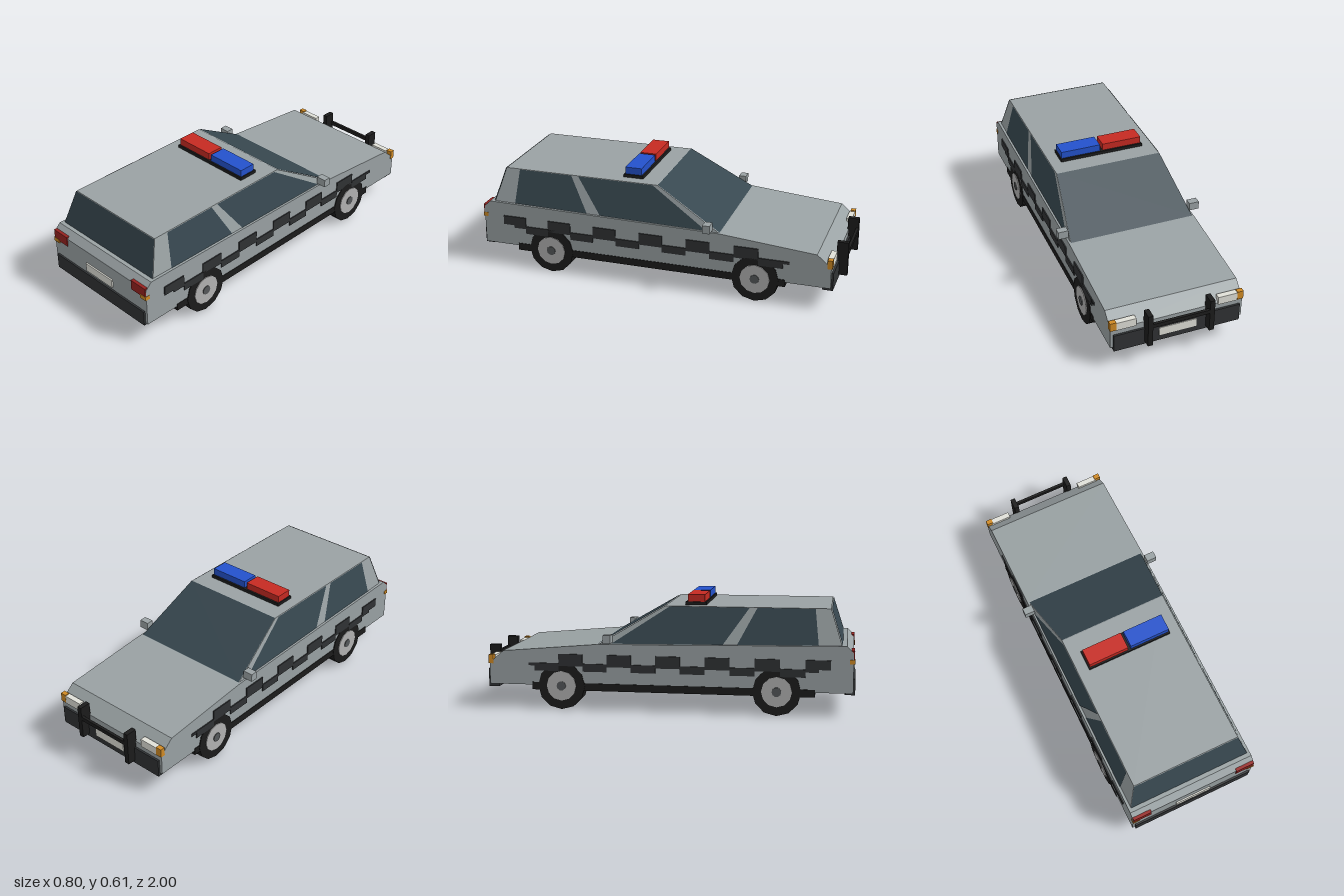
import * as THREE from 'three';

const mat = (color) => new THREE.MeshStandardMaterial({ color, flatShading: true });

export function createModel() {
  const car = new THREE.Group();
  car.name = 'patrolCar';
  const paint = mat(0x9aa2a4), dark = mat(0x303234), black = mat(0x1c1c1c);
  const red = mat(0xc62a22), blue = mat(0x2452cc), tailRed = mat(0x96221f);
  const amber = mat(0xd08a24), plateMat = mat(0xe0e0d8), hubMat = mat(0xb2b2b2);
  const glass = mat(0x37474f);
  glass.side = THREE.DoubleSide;

  const add = (name, geometry, material) => {
    const m = new THREE.Mesh(geometry, material);
    m.name = name;
    car.add(m);
    return m;
  };
  // box given by its minimum and maximum on each axis
  const box = (name, material, x0, x1, y0, y1, z0, z1) => {
    const m = add(name, new THREE.BoxGeometry(x1 - x0, y1 - y0, z1 - z0), material);
    m.position.set((x0 + x1) / 2, (y0 + y1) / 2, (z0 + z1) / 2);
    return m;
  };
  // the same box on both sides of the car
  const pair = (name, material, x0, x1, ...rest) => {
    box(name, material, x0, x1, ...rest);
    box(name, material, -x1, -x0, ...rest);
  };
  // side profile of [z, y] points extruded across the car
  const extrudeProfile = (points, half) => {
    const shape = new THREE.Shape(points.map(([z, y]) => new THREE.Vector2(z, y)));
    const g = new THREE.ExtrudeGeometry(shape, { depth: 2 * half, bevelEnabled: false });
    return g.rotateY(-Math.PI / 2).translate(half, 0, 0);
  };
  const quad = (name, corners) => {
    const g = new THREE.BufferGeometry();
    g.setAttribute('position', new THREE.Float32BufferAttribute(corners.flat(), 3));
    g.setIndex([0, 1, 2, 0, 2, 3]);
    g.computeVertexNormals();
    add(name, g, glass);
  };

  // lower body
  add('body', extrudeProfile([
    [0.985, 0.13], [0.985, 0.34], [0.95, 0.375], [-0.36, 0.355],
    [-0.87, 0.31], [-0.945, 0.245], [-0.945, 0.13],
  ], 0.355), paint);

  // cabin, narrowing towards the roof
  const halfWidth = (y) => 0.34 - (y - 0.375) * 0.232;
  const cabin = extrudeProfile([[0.93, 0.355], [0.865, 0.56], [0, 0.56], [-0.355, 0.352]], 0.34);
  const p = cabin.attributes.position;
  for (let i = 0; i < p.count; i++) p.setX(i, Math.sign(p.getX(i)) * halfWidth(p.getY(i)));
  cabin.computeVertexNormals();
  add('cabin', cabin, paint);

  // front and rear glass
  const across = (name, [z0, y0], [z1, y1]) => {
    const a = halfWidth(y0), b = halfWidth(y1);
    quad(name, [[-a, y0, z0], [a, y0, z0], [b, y1, z1], [-b, y1, z1]]);
  };
  across('rearWindow', [0.928, 0.374], [0.869, 0.559]);
  across('windshield', [-0.354, 0.358], [-0.003, 0.562]);

  // side glass, corners as [z, y]
  const sideWindows = {
    rearSideWindow: [[0.805, 0.374], [0.785, 0.558], [0.485, 0.558], [0.385, 0.369]],
    frontSideWindow: [[0.31, 0.367], [0.445, 0.558], [0.025, 0.558], [-0.28, 0.36]],
  };
  for (const s of [1, -1]) {
    for (const [name, pts] of Object.entries(sideWindows)) {
      quad(name, pts.map(([z, y]) => [s * (halfWidth(y) + 0.003), y, z]));
    }
  }

  // sills and floor
  box('underbody', black, -0.358, 0.358, 0.105, 0.145, -0.71, 0.79);

  // chequered side band: two staggered rows and a thin line
  const step = 0.1305;
  for (let i = 0; i < 6; i++) {
    const z = 0.87 - 2 * i * step;
    pair('upperCheck', dark, 0.35, 0.361, 0.25, 0.3, z - step, z);
    pair('lowerCheck', dark, 0.35, 0.361, 0.208, 0.25, z - 2 * step, z - step);
  }
  pair('sideStripe', dark, 0.35, 0.36, 0.235, 0.25, -0.73, 0.81);

  // wheels
  for (const s of [1, -1]) {
    for (const z of [0.593, -0.55]) {
      const disc = (name, r, x0, x1, sides, material) => {
        const g = new THREE.CylinderGeometry(r, r, x1 - x0, sides).rotateZ(Math.PI / 2);
        add(name, g, material).position.set(s * (x0 + x1) / 2, 0.129, z);
      };
      disc('tyre', 0.127, 0.28, 0.36, 12, black);
      disc('wheelDisc', 0.08, 0.277, 0.364, 12, hubMat);
      disc('hubCap', 0.025, 0.355, 0.368, 10, mat(0x55585a));
    }
  }

  // mirrors
  pair('mirror', paint, 0.345, 0.4, 0.366, 0.41, -0.315, -0.275);

  // roof light bar
  box('lightBarBase', black, -0.236, 0.236, 0.558, 0.577, 0.1, 0.21);
  box('redLight', red, -0.23, -0.008, 0.577, 0.615, 0.11, 0.202);
  box('blueLight', blue, 0.008, 0.23, 0.577, 0.615, 0.11, 0.202);

  // tail end
  box('rearBumper', dark, -0.34, 0.34, 0.12, 0.205, 0.94, 0.995);
  pair('tailLight', tailRed, 0.25, 0.337, 0.296, 0.352, 0.96, 0.99);
  pair('tailLight', tailRed, 0.337, 0.353, 0.305, 0.352, 0.96, 0.99);
  pair('rearIndicator', amber, 0.317, 0.357, 0.283, 0.305, 0.965, 0.992);
  box('rearPlate', plateMat, -0.1, 0.1, 0.222, 0.27, 0.97, 0.993);

  // nose
  box('frontBumper', dark, -0.34, 0.34, 0.112, 0.21, -0.956, -0.9);
  pair('headlight', plateMat, 0.22, 0.33, 0.237, 0.282, -0.95, -0.92);
  pair('frontIndicator', amber, 0.325, 0.358, 0.24, 0.287, -0.951, -0.925);
  box('frontPlate', plateMat, -0.1, 0.1, 0.145, 0.192, -0.96, -0.945);

  // push bar
  pair('pushBarPost', black, 0.152, 0.178, 0.13, 0.315, -1, -0.94);
  box('pushBarRail', black, -0.165, 0.165, 0.24, 0.262, -1, -0.985);

  return car;
}
